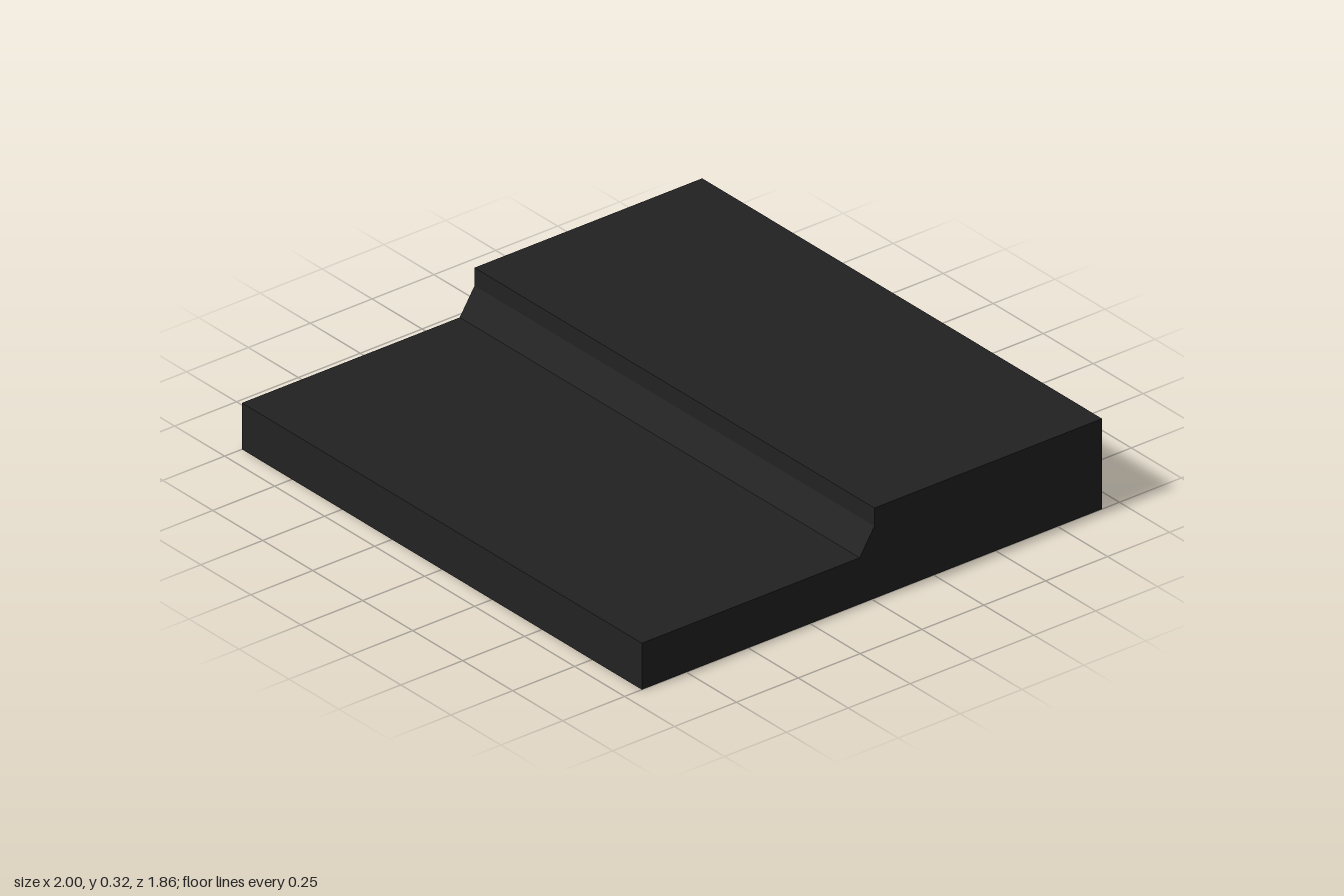
import * as THREE from 'three';

const W = 2, BACK = -0.93, INNER = -0.87, TOP = 0.325;

function shapeOf(points) {
  return new THREE.Shape(points.map(([x, y]) => new THREE.Vector2(x, y)));
}

export function createModel() {
  const model = new THREE.Group();
  const charcoal = new THREE.MeshStandardMaterial({ color: 0x222222 });
  charcoal.name = 'charcoal';

  const add = (name, geometry) => {
    const mesh = new THREE.Mesh(geometry, charcoal);
    mesh.name = name;
    model.add(mesh);
    return mesh;
  };

  // Stepped body: side profile (z, y) swept across the width
  const profile = shapeOf([
    [-0.93, 0], [-INNER, 0], [-INNER, TOP], [0.01, TOP],
    [0.01, 0.26], [-0.05, 0.167], [-0.93, 0.167],
  ]);
  const bodyGeo = new THREE.ExtrudeGeometry(profile, { depth: W, bevelEnabled: false });
  bodyGeo.translate(0, 0, -W / 2).rotateY(Math.PI / 2);
  add('steppedBody', bodyGeo);

  // Back wall with a shallow arched recess
  const wall = shapeOf([[-1, 0], [1, 0], [1, TOP], [-1, TOP]]);
  const arch = new THREE.Path();
  arch.moveTo(-0.06, 0.01);
  arch.lineTo(-0.06, 0.075);
  arch.absarc(0, 0.075, 0.06, Math.PI, 0, true);
  arch.lineTo(0.06, 0.01);
  arch.closePath();
  wall.holes.push(arch);
  const wallGeo = new THREE.ExtrudeGeometry(wall, {
    depth: INNER - BACK, bevelEnabled: false, curveSegments: 10,
  });
  wallGeo.translate(0, 0, BACK);
  add('backWall', wallGeo);

  // Thin angled brackets above the recess, mirrored
  for (const side of [-1, 1]) {
    const bracket = shapeOf([
      [0.115, 0.26], [0.13, 0.26], [0.13, 0.165], [0.075, 0.165],
      [0.05, 0.135], [0.04, 0.145], [0.068, 0.18], [0.115, 0.18],
    ].map(([x, y]) => [x * side, y]));
    const geo = new THREE.ExtrudeGeometry(bracket, { depth: 0.005, bevelEnabled: false });
    geo.translate(0, 0, BACK - 0.004);
    add(side > 0 ? 'leftBracket' : 'rightBracket', geo);
  }

  return model;
}
